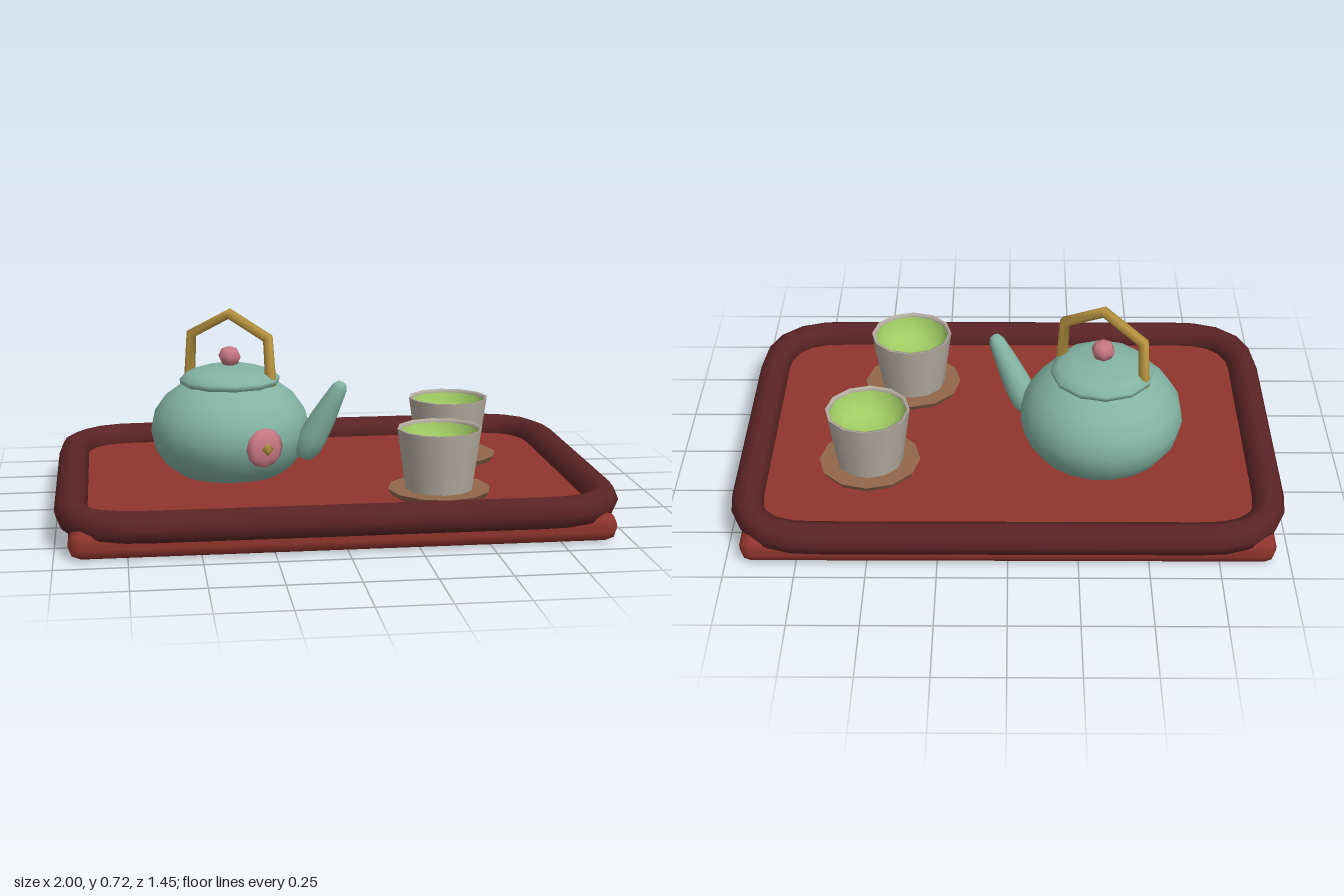
import * as THREE from 'three';
import { RoundedBoxGeometry } from 'three/addons/geometries/RoundedBoxGeometry.js';

function material(name, color) {
  const m = new THREE.MeshStandardMaterial({ color });
  m.name = name;
  return m;
}

function add(parent, name, geometry, mat, x = 0, y = 0, z = 0) {
  const mesh = new THREE.Mesh(geometry, mat);
  mesh.name = name;
  mesh.position.set(x, y, z);
  parent.add(mesh);
  return mesh;
}

function lathe(profile, sides) {
  return new THREE.LatheGeometry(profile.map(([r, y]) => new THREE.Vector2(r, y)), sides);
}

// Closed rounded rectangle in the xz plane
function roundedLoop(hx, hz, c) {
  const path = new THREE.CurvePath();
  const v = (x, z) => new THREE.Vector3(x, 0, z);
  let last = v(0, hz);
  const corners = [
    [v(hx - c, hz), v(hx, hz), v(hx, hz - c)],
    [v(hx, -hz + c), v(hx, -hz), v(hx - c, -hz)],
    [v(-hx + c, -hz), v(-hx, -hz), v(-hx, -hz + c)],
    [v(-hx, hz - c), v(-hx, hz), v(-hx + c, hz)],
  ];
  for (const [a, b, d] of corners) {
    path.add(new THREE.LineCurve3(last, a));
    path.add(new THREE.QuadraticBezierCurve3(a, b, d));
    last = d;
  }
  path.add(new THREE.LineCurve3(last, v(0, hz)));
  return path;
}

export function createModel() {
  const red = material('red lacquer', 0x90352d);
  const dark = material('dark lacquer', 0x5c2426);
  const teal = material('teal glaze', 0x82b3a3);
  const pink = material('pink', 0xc97985);
  const gold = material('gold', 0xb8943f);
  const stone = material('cup grey', 0xb5ada1);
  const brown = material('saucer brown', 0x91674b);
  const green = material('tea green', 0x9fcb62);

  const model = new THREE.Group();
  model.name = 'teaSet';

  // Tray
  const tray = new THREE.Group();
  tray.name = 'tray';
  model.add(tray);
  add(tray, 'trayBase', new RoundedBoxGeometry(1.9, 0.1, 1.366, 1, 0.042), red, 0, 0.05, 0);
  add(tray, 'trayRim', new THREE.TubeGeometry(roundedLoop(0.942, 0.668, 0.25), 72, 0.058, 8, true),
    dark, 0, 0.112, 0);

  // Teapot, built with the spout towards +x and then turned
  const pot = new THREE.Group();
  pot.name = 'teapot';
  pot.position.set(-0.345, 0, -0.117);
  pot.rotation.y = -0.487;
  model.add(pot);
  add(pot, 'potBody', new THREE.SphereGeometry(1, 20, 10), teal, 0, 0.265, 0).scale.set(0.302, 0.22, 0.302);
  add(pot, 'lid', lathe([[0.165, 0.425], [0.188, 0.445], [0.19, 0.462], [0.165, 0.482], [0.11, 0.5], [0, 0.51]], 12), teal);
  add(pot, 'lidKnob', new THREE.SphereGeometry(0.046, 6, 4), pink, 0, 0.543, 0).scale.y = 0.85;

  // Tapered spout with rounded ends
  const spout = add(pot, 'spout', lathe([
    [0, 0], [0.035, 0.012], [0.052, 0.05], [0.054, 0.1], [0.048, 0.18],
    [0.038, 0.26], [0.03, 0.315], [0.018, 0.337], [0, 0.343],
  ], 12), teal, 0.29, 0.175, 0);
  spout.rotation.z = -0.5;

  // Angular handle over the lid
  const handlePath = new THREE.CatmullRomCurve3([
    [-0.168, 0.44], [-0.16, 0.615], [0, 0.705], [0.16, 0.615], [0.168, 0.44],
  ].map(([x, y]) => new THREE.Vector3(x, y, 0)));
  add(pot, 'handle', new THREE.TubeGeometry(handlePath, 4, 0.021, 6), gold);

  // Flower ornament on the front of the pot
  const flower = new THREE.Group();
  flower.name = 'flower';
  flower.position.set(-0.24, 0.25, 0.16);
  flower.rotation.y = 0.37;
  model.add(flower);
  add(flower, 'petals', new THREE.SphereGeometry(0.074, 8, 6), pink).scale.z = 0.35;
  add(flower, 'flowerCentre', new THREE.SphereGeometry(0.024, 4, 2), gold, 0, 0, 0.026).scale.z = 0.7;

  // Cups on saucers
  for (const [x, z] of [[0.515, -0.21], [0.38, 0.315]]) {
    const cup = new THREE.Group();
    cup.name = 'cupAndSaucer';
    cup.position.set(x, 0, z);
    model.add(cup);
    add(cup, 'saucer', new THREE.CylinderGeometry(0.188, 0.17, 0.03, 12), brown, 0, 0.108, 0);
    add(cup, 'cupWall', new THREE.CylinderGeometry(0.155, 0.123, 0.225, 12, 1, true), stone, 0, 0.232, 0);
    add(cup, 'cupLip', lathe([[0.155, 0.3445], [0.144, 0.3445], [0.143, 0.332]], 12), stone);
    add(cup, 'tea', lathe([[0.144, 0.335], [0.132, 0.295], [0.1, 0.262], [0.055, 0.245], [0, 0.24]], 12), green);
  }
  return model;
}
